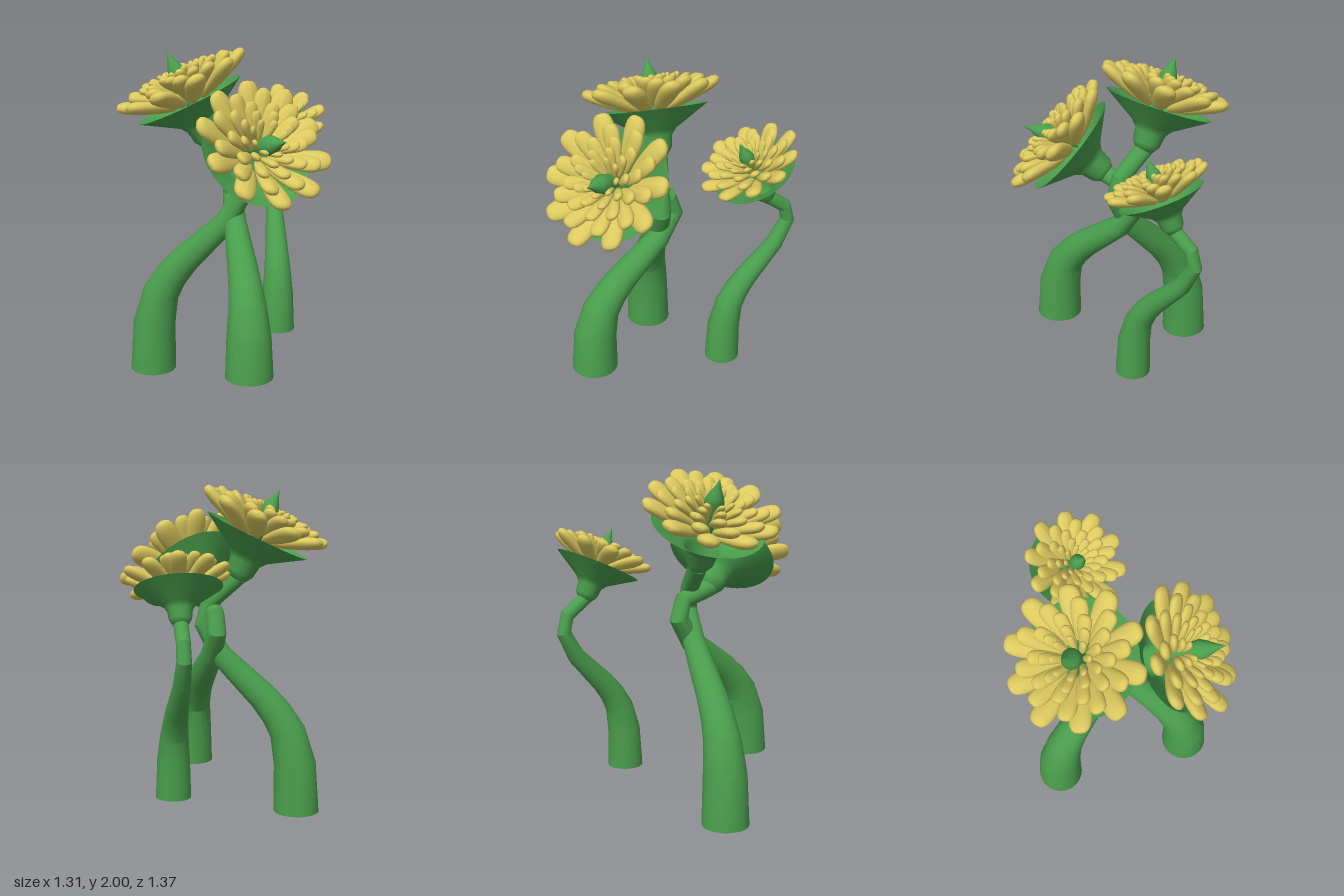
import * as THREE from 'three';
import { toCreasedNormals } from 'three/addons/utils/BufferGeometryUtils.js';

const V = (x, y, z) => new THREE.Vector3(x, y, z);
const UP = V(0, 1, 0);
const green = new THREE.MeshStandardMaterial({ color: 0x4a9e4d });
const greenThin = new THREE.MeshStandardMaterial({ color: 0x4a9e4d, side: THREE.DoubleSide });
const yellow = new THREE.MeshStandardMaterial({ color: 0xdcc95f });

// Stem stations: share of the sideways drift, share of the height, radius
const STEM = [
  [0, 0, 0.105], [0.02, 0.23, 0.097], [0.1, 0.38, 0.083], [0.22, 0.47, 0.074], [0.37, 0.55, 0.067],
  [0.81, 0.74, 0.051], [1, 0.89, 0.043], [0.94, 0.99, 0.041],
];

// Rings swept along the stations, capped at both ends
function stemGeometry(base, drift, rise, size, end) {
  const pts = STEM.map(([t, h]) => base.clone().addScaledVector(drift, t).add(V(0, h * rise, 0)));
  const radii = STEM.map((s) => s[2] * size);
  pts.push(end);
  radii.push(0.042 * size);
  const side = UP.clone().cross(drift).normalize();
  const n = 24, pos = [], idx = [], last = pts.length - 1;
  pts.forEach((p, i) => {
    const tan = i === 0 ? UP : pts[Math.min(i + 1, last)].clone().sub(pts[i - 1]).normalize();
    const out = side.clone().cross(tan).normalize();
    for (let j = 0; j < n; j++) {
      const a = (j / n) * Math.PI * 2;
      const q = p.clone().addScaledVector(side, Math.cos(a) * radii[i]).addScaledVector(out, Math.sin(a) * radii[i]);
      pos.push(q.x, q.y, q.z);
    }
  });
  for (let i = 0; i < last; i++) {
    for (let j = 0; j < n; j++) {
      const a = i * n + j, b = i * n + ((j + 1) % n);
      idx.push(a, a + n, b, b, a + n, b + n);
    }
  }
  for (let j = 1; j < n - 1; j++) {
    idx.push(0, j, j + 1);
    idx.push(last * n, last * n + j + 1, last * n + j);
  }
  const g = new THREE.BufferGeometry();
  g.setAttribute('position', new THREE.Float32BufferAttribute(pos, 3));
  g.setIndex(idx);
  return toCreasedNormals(g, 0.35);
}

// Plump petal along +x from its root, blunt and wide at the tip
function petalGeometry() {
  const g = new THREE.SphereGeometry(1, 16, 12);
  g.rotateZ(-Math.PI / 2);
  const p = g.attributes.position;
  const blunt = (v, e) => Math.sign(v) * Math.abs(v) ** e;
  for (let i = 0; i < p.count; i++) {
    const x = blunt(p.getX(i), 0.75), w = 0.78 + 0.22 * x;
    const fat = Math.hypot(p.getY(i), p.getZ(i)) ** -0.3 || 1;
    const k = Number.isFinite(fat) ? fat * w * 0.5 : 0;
    p.setXYZ(i, (x + 1) / 2, p.getY(i) * k, p.getZ(i) * k);
  }
  g.computeVertexNormals();
  return g;
}

// Petal rings: count, root radius, root height, tip radius, tip height, width, thickness
const RINGS = [
  [10, 0.1, -0.01, 0.4, 0.13, 0.155, 0.09],
  [10, 0.1, 0.02, 0.325, 0.16, 0.125, 0.075],
  [10, 0.08, 0.05, 0.245, 0.175, 0.1, 0.06],
  [9, 0.06, 0.06, 0.175, 0.19, 0.078, 0.05],
  [8, 0.04, 0.08, 0.115, 0.195, 0.055, 0.038],
];

function lathe(pts, mat, name) {
  const m = new THREE.Mesh(new THREE.LatheGeometry(pts.map(([r, y]) => new THREE.Vector2(r, y)), 32), mat);
  m.name = name;
  return m;
}

function createHead(petal, turn) {
  const head = new THREE.Group();
  head.name = 'flowerHead';
  // Bell-shaped neck flaring into a wide open cone
  head.add(lathe([[0, -0.29], [0.055, -0.285], [0.085, -0.24], [0.095, -0.17], [0.125, -0.13], [0.33, 0]], greenThin, 'calyx'));
  RINGS.forEach(([count, r0, h0, r1, h1, width, thick], k) => {
    const ring = new THREE.Group();
    ring.name = 'petalRing' + (k + 1);
    for (let i = 0; i < count; i++) {
      const arm = new THREE.Group();
      arm.rotation.y = ((i + (k % 2) * 0.5) / count) * Math.PI * 2 + k * 0.1 + turn;
      const m = new THREE.Mesh(petal, yellow);
      m.name = 'petal';
      const vary = 1 + 0.03 * Math.sin(i * 2.4 + k);
      m.position.set(r0, h0, 0);
      m.rotation.z = Math.atan2(h1 - h0, r1 - r0);
      m.scale.set(Math.hypot(r1 - r0, h1 - h0) * vary, thick, width);
      arm.add(m);
      ring.add(arm);
    }
    head.add(ring);
  });
  return head;
}

const FLOWERS = [
  { name: 'largeFlower', base: V(-0.44, 0, 0.34), drift: V(0.51, 0, -0.265), rise: 1.31, stem: 1.33,
    centre: V(-0.22, 1.7, 0.215), axis: V(-0.36, 0.9, 0.23), spike: V(-0.36, 0.9, 0.23), size: 1, turn: 0.05 },
  { name: 'leaningFlower', base: V(0.385, 0.19, 0.415), drift: V(-0.435, 0, -0.38), rise: 1.05, stem: 1.33,
    centre: V(0.31, 1.46, 0.265), axis: V(0.73, 0.64, 0.23), spike: V(0.92, 0.3, 0.24), size: 1, turn: 0.2 },
  { name: 'smallFlower', base: V(0.04, 0.18, -0.305), drift: V(-0.285, 0, -0.315), rise: 1, stem: 1,
    centre: V(-0.09, 1.445, -0.44), axis: V(0.29, 0.89, 0.33), spike: V(0.29, 0.89, 0.33), size: 0.76, turn: 0.3 },
];

export function createModel() {
  const model = new THREE.Group();
  model.name = 'flowers';
  const petal = petalGeometry();
  for (const f of FLOWERS) {
    const flower = new THREE.Group();
    flower.name = f.name;
    const axis = f.axis.clone().normalize();
    const neck = f.centre.clone().addScaledVector(axis, -0.27 * f.size);
    const stem = new THREE.Mesh(stemGeometry(f.base, f.drift, f.rise, f.stem, neck), green);
    stem.name = 'stem';
    const head = createHead(petal, f.turn);
    head.position.copy(f.centre);
    head.quaternion.setFromUnitVectors(UP, axis);
    head.scale.setScalar(f.size);
    // Pointed centre
    const spike = lathe([[0.03, -0.12], [0.045, 0], [0.058, 0.08], [0.045, 0.12], [0.018, 0.175], [0, 0.225]], green, 'centreSpike');
    spike.position.copy(f.centre).addScaledVector(axis, 0.08 * f.size);
    spike.quaternion.setFromUnitVectors(UP, f.spike.clone().normalize());
    spike.scale.setScalar(f.size);
    flower.add(stem, head, spike);
    model.add(flower);
  }
  return model;
}
